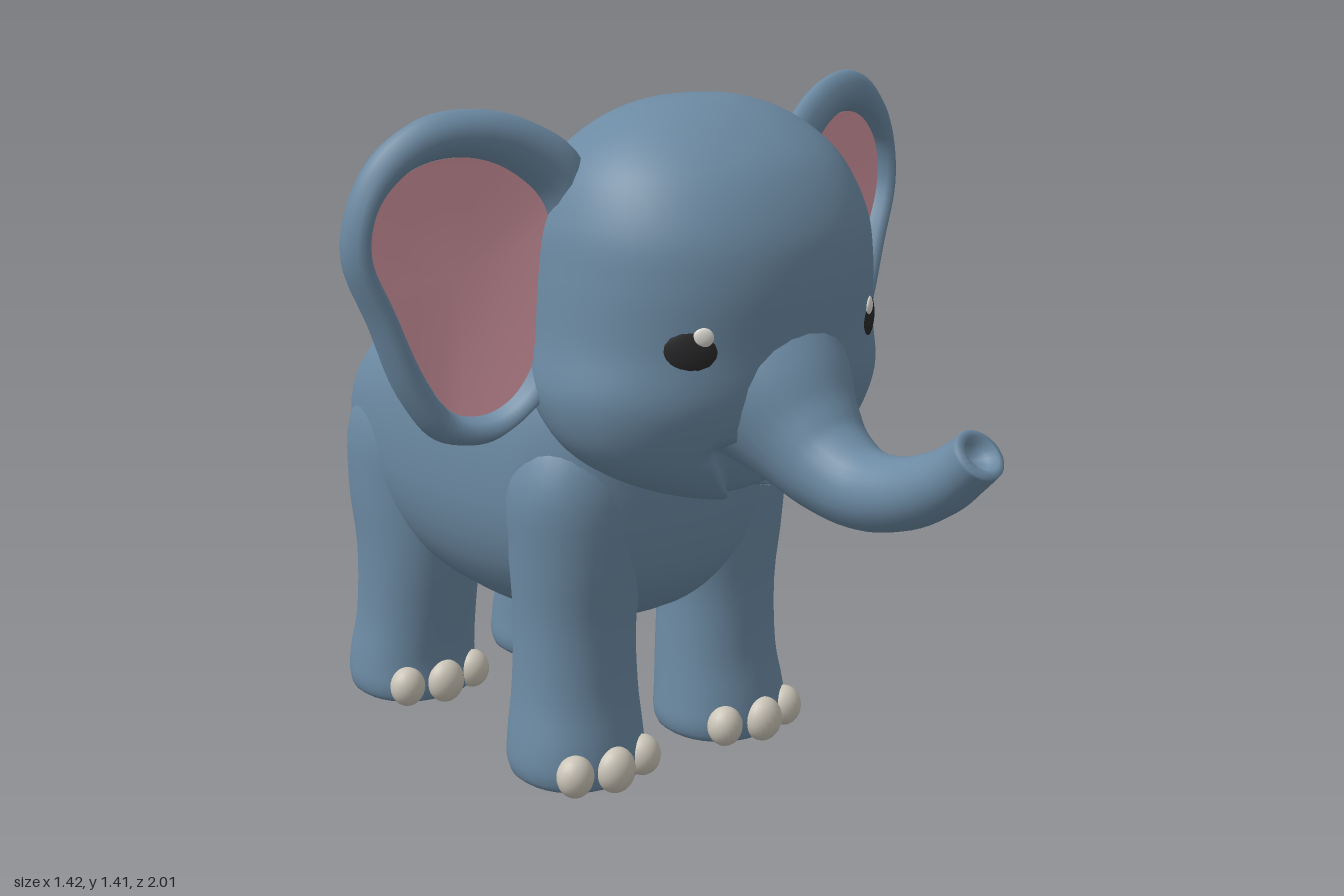
import * as THREE from 'three';
import { mergeVertices } from 'three/addons/utils/BufferGeometryUtils.js';

const mat = (name, color) => Object.assign(new THREE.MeshStandardMaterial({ color }), { name });
const V = (x, y, z) => new THREE.Vector3(x, y, z);

// Catmull-Rom interpolation of every column in a table of stations
function smooth(rows, steps) {
  const out = [], last = rows.length - 1;
  for (let i = 0; i < last; i++) {
    const a = rows[Math.max(i - 1, 0)], b = rows[i], c = rows[i + 1], d = rows[Math.min(i + 2, last)];
    for (let s = 0; s < steps; s++) {
      const t = s / steps;
      out.push(b.map((_, k) => b[k] + 0.5 * t * (c[k] - a[k] + t * (2 * a[k] - 5 * b[k] + 4 * c[k] - d[k]
        + t * (3 * (b[k] - c[k]) + d[k] - a[k])))));
    }
  }
  out.push(rows[last]);
  return out;
}

// Skin over closed rings of points
function loft(rings) {
  const n = rings[0].length, index = [];
  for (let i = 0; i < rings.length - 1; i++) {
    for (let j = 0; j < n; j++) {
      const a = i * n + j, b = i * n + (j + 1) % n;
      index.push(a, a + n, b, b, a + n, b + n);
    }
  }
  let geo = new THREE.BufferGeometry().setFromPoints(rings.flat());
  geo.setIndex(index);
  geo = mergeVertices(geo, 1e-5);
  geo.computeVertexNormals();
  return geo;
}

// Superellipse ring: fn receives the cosine-like and sine-like factors
function ring(n, power, fn) {
  const p = v => Math.sign(v) * Math.abs(v) ** (2 / power);
  return Array.from({ length: n }, (_, j) => {
    const a = j / n * Math.PI * 2;
    return fn(p(Math.cos(a)), p(Math.sin(a)));
  });
}

// Rings along a path of [x, y, z, radius]
function tubeRings(rows, n = 24, steps = 5) {
  const pts = smooth(rows, steps), at = i => V(...pts[i]);
  return pts.map((p, i) => {
    const t = at(Math.min(i + 1, pts.length - 1)).sub(at(Math.max(i - 1, 0))).normalize();
    const side = V(1, 0, 0).addScaledVector(t, -t.x).normalize();
    const up = side.clone().cross(t), r = Math.max(p[3], 0);
    return ring(n, 2, (c, s) => at(i).addScaledVector(side, c * r).addScaledVector(up, s * r));
  });
}

export function createModel() {
  const skin = mat('blue grey skin', 0x6c8aa3), pink = mat('inner ear pink', 0xd698a3);
  const nail = mat('toenail cream', 0xcbc5b8), black = mat('eye black', 0x29292b);
  const glint = mat('eye glint', 0xdcd9d2);
  const model = new THREE.Group();
  model.name = 'elephant';
  const add = (name, geo, material, parent = model) => {
    const mesh = new THREE.Mesh(geo, material);
    mesh.name = name;
    parent.add(mesh);
    return mesh;
  };
  const blob = (name, material, parent, pos, size) => {
    const mesh = add(name, new THREE.SphereGeometry(1, 20, 14), material, parent);
    mesh.position.set(...pos);
    mesh.scale.set(...size);
    return mesh;
  };

  // Body: z, centre y, half width, half height
  const bodyRows = [[0.25, 0.68, 0, 0], [0.235, 0.68, 0.14, 0.15], [0.19, 0.67, 0.25, 0.26], [0.1, 0.66, 0.31, 0.335],
    [0, 0.655, 0.332, 0.36], [-0.2, 0.645, 0.337, 0.373], [-0.4, 0.64, 0.333, 0.345], [-0.55, 0.645, 0.315, 0.265],
    [-0.64, 0.645, 0.27, 0.185], [-0.69, 0.65, 0.17, 0.1], [-0.71, 0.65, 0, 0]];
  add('body', loft(smooth(bodyRows, 5).map(([z, y, w, h]) =>
    ring(48, 2.4, (c, s) => V(c * w, y + s * h, z)))), skin);

  // Head: y, half width, back z, front z, with a dent forming the smile under the trunk
  const headRows = [[0.64, 0, 0.3, 0.3], [0.652, 0.12, 0.2, 0.41], [0.7, 0.25, 0.12, 0.455], [0.77, 0.34, 0.04, 0.49],
    [0.87, 0.378, -0.04, 0.53], [0.98, 0.362, -0.08, 0.54], [1.1, 0.352, -0.095, 0.548], [1.2, 0.337, -0.08, 0.53],
    [1.3, 0.29, -0.03, 0.47], [1.37, 0.21, 0.05, 0.38], [1.408, 0.11, 0.13, 0.29], [1.418, 0, 0.21, 0.21]];
  add('head', loft(smooth(headRows, 6).map(([y, w, zb, zf]) => ring(96, 2.1, (c, s) => {
    const x = c * w, edge = 0.07 + (y - 0.66) * 0.8;
    const dent = s > 0 && y < 0.8 ? 0.05 * (1 - THREE.MathUtils.smoothstep(Math.abs(x), edge - 0.015, edge + 0.01)) : 0;
    return V(x, y, (zb + zf) / 2 + s * (zf - zb) / 2 - dent * Math.min(1, (0.8 - y) / 0.03));
  }))), skin);

  // Trunk with a hollow tip
  const trunk = tubeRings([[0, 0.92, 0.36, 0.2], [0, 0.86, 0.46, 0.16], [0, 0.8, 0.54, 0.118], [0, 0.757, 0.61, 0.094],
    [0, 0.734, 0.7, 0.078], [0, 0.75, 0.8, 0.068], [0, 0.79, 0.885, 0.06], [0, 0.832, 0.94, 0.053], [0, 0.864, 0.974, 0.051]]);
  const tip = trunk[trunk.length - 1], mouth = V(0, 0.864, 0.974);
  for (const [scale, depth] of [[0.7, -0.006], [0.55, 0.015], [0, 0.03]]) {
    trunk.push(tip.map(p => p.clone().sub(mouth).multiplyScalar(scale).add(mouth).add(V(0, -0.6 * depth, -0.8 * depth))));
  }
  add('trunk', loft(trunk), skin);

  // Tail with a tuft
  add('tail', loft(tubeRings([[0.03, 0.76, -0.64, 0.045], [0.035, 0.755, -0.71, 0.036], [0.05, 0.757, -0.78, 0.032],
    [0.07, 0.79, -0.845, 0.028], [0.085, 0.84, -0.89, 0.027], [0.095, 0.88, -0.92, 0.05], [0.1, 0.925, -0.932, 0.06],
    [0.1, 0.965, -0.935, 0.04], [0.1, 0.985, -0.935, 0]], 16)), skin);
  for (const [x, y, z] of [[0.1, 1.03, -0.915], [0.13, 0.985, -0.99], [0.07, 0.965, -0.998]]) {
    add('tailTuft', loft(tubeRings([[0.1, 0.9, -0.93, 0.04],
      [(x + 0.1) / 2, (y + 0.91) / 2, (z - 0.93) / 2, 0.037], [x, y, z, 0]], 10)), skin);
  }

  // Legs: y, centre x, centre z, radius x, radius z
  const legs = {
    front: [[0.006, 0.2, 0.08, 0, 0], [0.007, 0.2, 0.08, 0.115, 0.112], [0.035, 0.2, 0.08, 0.142, 0.138],
      [0.1, 0.2, 0.077, 0.14, 0.137], [0.2, 0.195, 0.07, 0.129, 0.128], [0.35, 0.194, 0.07, 0.125, 0.125],
      [0.5, 0.188, 0.075, 0.142, 0.137], [0.65, 0.18, 0.075, 0.155, 0.14], [0.77, 0.16, 0.07, 0.11, 0.1], [0.82, 0.15, 0.07, 0, 0]],
    hind: [[0.006, 0.2, -0.53, 0, 0], [0.007, 0.2, -0.53, 0.115, 0.112], [0.035, 0.2, -0.53, 0.142, 0.137],
      [0.1, 0.2, -0.53, 0.139, 0.136], [0.2, 0.196, -0.515, 0.13, 0.136], [0.35, 0.194, -0.5, 0.132, 0.147],
      [0.5, 0.186, -0.505, 0.148, 0.168], [0.65, 0.175, -0.5, 0.155, 0.165], [0.77, 0.15, -0.49, 0.12, 0.12], [0.84, 0.14, -0.48, 0, 0]],
  };

  // Ear outlines, matching points on the outer edge and the pink edge
  const outer = [[0.71, 1.15], [0.695, 1.26], [0.645, 1.35], [0.56, 1.408], [0.46, 1.418], [0.36, 1.39], [0.27, 1.32],
    [0.26, 1.1], [0.32, 0.9], [0.39, 0.82], [0.46, 0.78], [0.55, 0.795], [0.615, 0.88], [0.665, 1.02]];
  const inner = [[0.662, 1.16], [0.65, 1.24], [0.605, 1.295], [0.545, 1.325], [0.47, 1.328], [0.4, 1.3], [0.335, 1.23],
    [0.325, 1.08], [0.355, 0.94], [0.4, 0.865], [0.455, 0.835], [0.515, 0.845], [0.57, 0.925], [0.625, 1.06]];
  const outline = list => {
    const curve = new THREE.CatmullRomCurve3(list.map(([x, y]) => V(x, y, 0)), true);
    return Array.from({ length: 84 }, (_, i) => curve.getPoint(i / 84));
  };
  const O = outline(outer), I = outline(inner), middle = V(0.49, 1.1, 0);
  const lean = (p, dz) => V(p.x, p.y, 0.185 - 0.31 * (p.x - 0.3) + dz);
  const between = (t, dz) => I.map((p, i) => lean(p.clone().lerp(O[i], t), dz));
  const inside = (t, dz) => I.map(p => lean(middle.clone().lerp(p, t), dz));
  const earShell = loft([between(0, -0.008), between(0.15, 0.018), between(0.45, 0.034), between(0.75, 0.026), between(0.95, 0.01),
    between(1, -0.005), between(0.92, -0.02), between(0.65, -0.033), between(0, -0.04), inside(0.5, -0.045), inside(0, -0.046)]);
  const earPink = loft([inside(0, -0.02), inside(0.6, -0.016), inside(1, -0.006)]);

  // Paired parts, mirrored across x
  for (const [label, sign] of [['left', 1], ['right', -1]]) {
    const half = new THREE.Group();
    half.name = label + 'Side';
    half.scale.x = sign;
    model.add(half);
    add(label + 'Ear', earShell, skin, half);
    add(label + 'InnerEar', earPink, pink, half);
    for (const [kind, rows] of Object.entries(legs)) {
      add(`${label}${kind}Leg`, loft(smooth(rows, 4).map(([y, x, z, rx, rz]) =>
        ring(32, 2.15, (c, s) => V(x + c * rx, y, z + s * rz)))), skin, half);
      const z = rows[1][2];
      for (const [dx, dz, size] of [[-0.085, 0.115, 0.039], [0.005, 0.138, 0.044], [0.09, 0.112, 0.04]]) {
        blob('toenail', nail, half, [0.2 + dx, 0.055, z + dz], [size, size + 0.005, 0.037]);
      }
    }
    // Eye with a small glint on its upper inner side
    const eye = new THREE.Group();
    eye.name = label + 'Eye';
    eye.position.set(0.222, 0.988, 0.455);
    eye.rotation.y = 0.62;
    half.add(eye);
    blob('eyeball', black, eye, [0, 0, 0], [0.066, 0.061, 0.028]);
    blob('eyeGlint', glint, eye, [-0.024, 0.027, 0.021], [0.02, 0.019, 0.008]);
  }
  return model;
}
